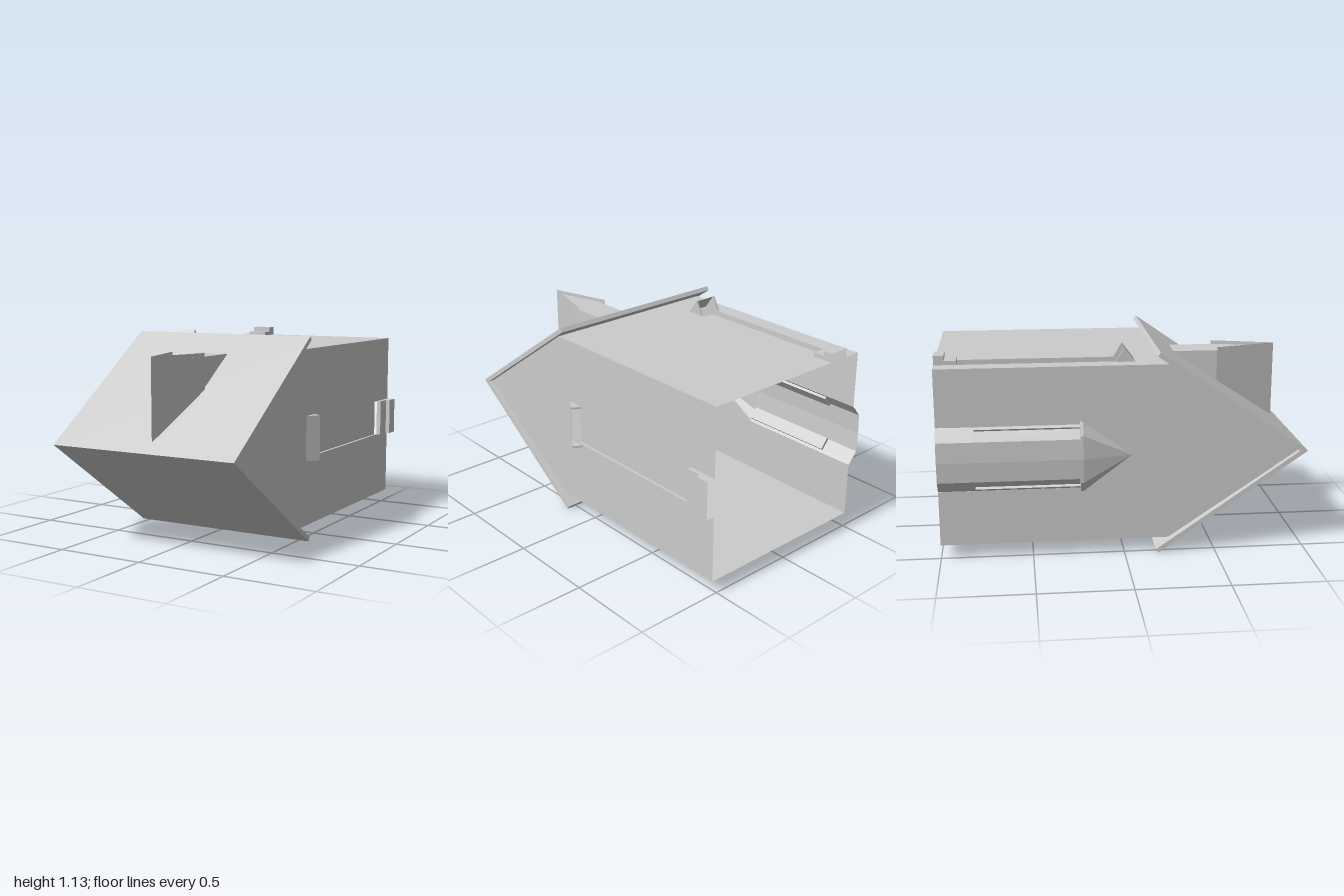
import * as THREE from 'three';

const material = new THREE.MeshStandardMaterial({ color: 0xcccccc, flatShading: true, side: THREE.DoubleSide });
const MID = 0.5625; // height of the nose ridge
const slopeY = (z) => MID + (1 - z) * 0.69; // outer face of the upper nose plate

function add(group, name, geometry) {
  const mesh = new THREE.Mesh(geometry, material);
  mesh.name = name;
  group.add(mesh);
  return mesh;
}

const outline = (points) => new THREE.Shape(points.map(([a, b]) => new THREE.Vector2(a, b)));

// Surface through rows of [x, y, z] points
function loft(rows) {
  const pos = [];
  for (let i = 0; i < rows.length - 1; i++) {
    for (let j = 0; j < rows[i].length - 1; j++) {
      const a = rows[i][j], b = rows[i][j + 1], c = rows[i + 1][j + 1], d = rows[i + 1][j];
      pos.push(...a, ...b, ...c, ...a, ...c, ...d);
    }
  }
  const g = new THREE.BufferGeometry();
  g.setAttribute('position', new THREE.Float32BufferAttribute(pos, 3));
  g.computeVertexNormals();
  return g;
}

// Flat sheet drawn in (z, y), placed at x
const sideSheet = (points, x) =>
  new THREE.ShapeGeometry(outline(points)).rotateY(-Math.PI / 2).translate(x, 0, 0);
// Flat sheet drawn in (x, z), placed at y
const flatSheet = (points, y) =>
  new THREE.ShapeGeometry(outline(points)).rotateX(Math.PI / 2).translate(0, y, 0);
// Solid drawn in (z, y), spanning x0 to x1
const sideSolid = (points, x0, x1) =>
  new THREE.ExtrudeGeometry(outline(points), { depth: x1 - x0, bevelEnabled: false })
    .rotateY(-Math.PI / 2).translate(x1, 0, 0);

// Recessed rail with a front clip and a stepped rear latch; local y points outward
function makeRail({ half, depth, clipHalf, clip, clipHeight, latch, steps }) {
  const rail = new THREE.Group();
  const [zFront, zPeak, zBack] = clip;
  const groove = (z) => [[-half, 0, z], [-half, -depth, z], [half, -depth, z], [half, 0, z]];
  add(rail, 'groove', loft([groove(zPeak), groove(latch[0])]));
  add(rail, 'clipRamp', loft([-clipHalf, clipHalf].map((x) => [[x, 0, zFront], [x, clipHeight, zPeak]])));
  for (const x of [-clipHalf, clipHalf - 0.012]) {
    add(rail, 'clipCheek', sideSolid([[zFront, 0], [zPeak, clipHeight], [zBack, 0]], x, x + 0.012));
  }
  const step = [[latch[0], 0], [latch[0], steps[0]], [latch[1], steps[0]], [latch[1], steps[1]], [-1, steps[1]]];
  add(rail, 'latchSteps', loft([-half, half].map((x) => step.map(([z, y]) => [x, y, z]))));
  for (const x of [-half, half]) add(rail, 'latchCheek', sideSheet([...step, [-1, 0]], x));
  return rail;
}

export function createModel() {
  const model = new THREE.Group();
  model.name = 'hollowWedgeBox';

  const L = -0.51, R = 0.53, B = 0.08, T = 1.055, J = 0.242;
  // Open-backed shell, notched where the rails and the bulge sit
  const nose = [[-1, B], [J, B], [0.956, MID], [J, T], [-1, T]];
  add(model, 'rightShellWall', sideSheet([...nose, [-1, 0.74], [-0.24, 0.74], [0.03, MID], [-0.24, 0.385], [-1, 0.385]], L));
  add(model, 'leftShellWall', sideSheet([...nose, [-1, 0.67], [0.15, 0.67], [0.15, 0.46], [-1, 0.46]], R));
  add(model, 'shellTop', flatSheet([[L, -1], [L, J], [R, J], [R, -1], [-0.295, -1], [-0.295, 0.05], [-0.413, 0.05], [-0.413, -1]], T));
  add(model, 'shellFloor', flatSheet([[L, -1], [L, J], [R, J], [R, -1]], B));

  // Folded nose plate
  add(model, 'nosePlate', sideSolid(
    [[1, MID], [0.185, 1.125], [0.171, 1.104], [0.956, MID], [0.171, 0.021], [0.185, 0]], -0.54, 0.56));

  // Arrow-shaped block on the nose, with a thin rim round its point
  const arrow = [[-0.05, 0.33], [-0.05, 0.62], [0.04, 0.93], [0.13, 0.62], [0.13, 0.33]];
  const rim = [[-0.062, 0.58], [0.04, 0.93], [0.139, 0.58]];
  const upright = (pts, top) => loft([pts.map(([x, z]) => [x, slopeY(z), z]), pts.map(([x, z]) => [x, top, z])]);
  add(model, 'arrowSides', upright(arrow, 1.025));
  add(model, 'arrowTop', flatSheet(arrow, 1.025));
  add(model, 'arrowRim', upright(rim, 1.045));

  // Rails on the top and the left side
  const topRail = makeRail({
    half: 0.059, depth: 0.03, clipHalf: 0.072, clip: [0.065, 0.005, -0.04], clipHeight: 0.078,
    latch: [-0.88, -0.945], steps: [0.022, 0.05],
  });
  topRail.name = 'topRail';
  topRail.position.set(-0.354, T, 0);
  model.add(topRail);

  const sideRail = makeRail({
    half: 0.105, depth: 0.015, clipHalf: 0.125, clip: [0.165, 0.09, 0.06], clipHeight: 0.047,
    latch: [-0.83, -0.92], steps: [0.025, 0.049],
  });
  sideRail.name = 'sideRail';
  sideRail.rotation.z = -Math.PI / 2;
  sideRail.position.set(R, 0.565, 0);
  model.add(sideRail);

  // Bulge on the right side: mirrored [height, outward] half profiles
  const section = (half, z) => [...half, ...half.slice(0, -1).reverse().map(([h, o]) => [-h, o])]
    .map(([h, o]) => [L - o, MID + h, z]);
  const full = [[0.177, 0], [0.165, 0.013], [0.165, 0.013], [0.11, 0.056], [0.11, 0.056], [0, 0.062]];
  const inset = full.map(([h, o], i) => (i === 2 || i === 3 ? [h - 0.01, o - 0.01] : [h, o]));
  const hood = [[0.192, 0], [0.188, 0.03], [0.188, 0.03], [0.13, 0.063], [0.13, 0.063], [0, 0.07]];
  add(model, 'bulge', loft([section(inset, -0.24), section(inset, -0.8), section(full, -0.8), section(full, -1)]));
  const tip = hood.map(() => [0, 0]);
  add(model, 'bulgeHood', loft([section(tip, 0.04), section(hood, -0.225), section(hood, -0.24), section(inset, -0.24)]));

  return model;
}
